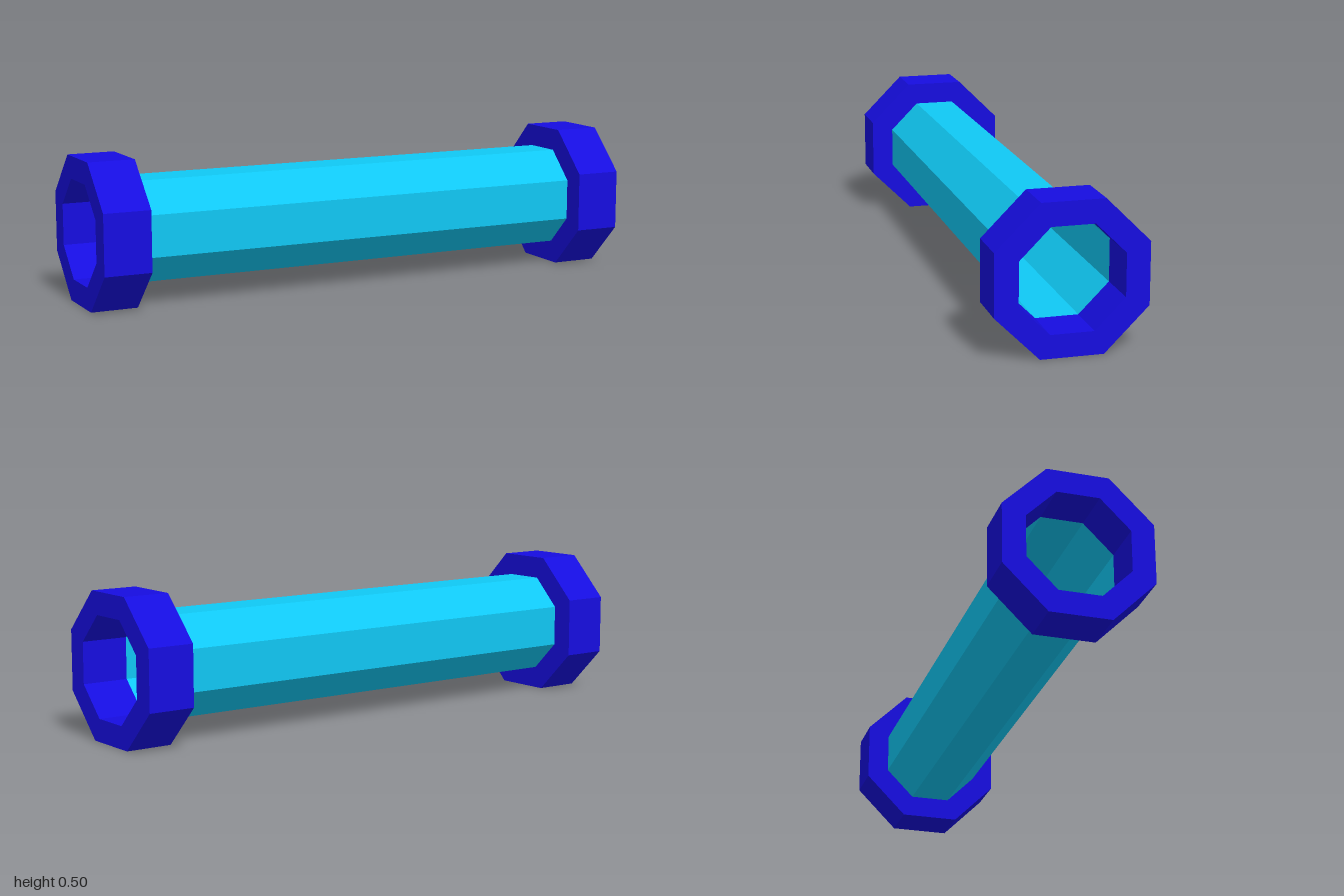
import * as THREE from 'three';

const SIDES = 8;
const CENTER_Y = 0.2525;
const OUTER = 0.2525;      // collar, centre to flat
const BORE = 0.174;        // bore and tube, centre to flat
const COLLAR_IN = 0.835;   // inner end of each collar along x
const toCorner = 1 / Math.cos(Math.PI / SIDES);

// Corners of an octagon lying on a flat side
function octagon(flatRadius) {
  const r = flatRadius * toCorner;
  return Array.from({ length: SIDES }, (_, i) => {
    const a = ((i + 0.5) / SIDES) * Math.PI * 2;
    return new THREE.Vector2(r * Math.cos(a), r * Math.sin(a));
  });
}

export function createModel() {
  const group = new THREE.Group();
  group.name = 'octagonalTube';
  const blue = new THREE.MeshStandardMaterial({ color: 0x160de0, flatShading: true });
  const cyan = new THREE.MeshStandardMaterial({ color: 0x10c8f4, flatShading: true, side: THREE.DoubleSide });

  // Thin open tube along x
  const tubeGeo = new THREE.CylinderGeometry(BORE * toCorner, BORE * toCorner, COLLAR_IN * 2, SIDES, 1, true);
  tubeGeo.rotateY(Math.PI / SIDES).rotateZ(Math.PI / 2);
  const tube = new THREE.Mesh(tubeGeo, cyan);
  tube.name = 'tube';
  tube.position.y = CENTER_Y;
  group.add(tube);

  // Collar with an octagonal bore at each end
  const ring = new THREE.Shape(octagon(OUTER));
  ring.holes.push(new THREE.Path(octagon(BORE)));
  const collarGeo = new THREE.ExtrudeGeometry(ring, { depth: 1 - COLLAR_IN, bevelEnabled: false });
  collarGeo.rotateY(Math.PI / 2);
  for (const [name, x] of [['leftCollar', COLLAR_IN], ['rightCollar', -1]]) {
    const collar = new THREE.Mesh(collarGeo, blue);
    collar.name = name;
    collar.position.set(x, CENTER_Y, 0);
    group.add(collar);
  }
  return group;
}
